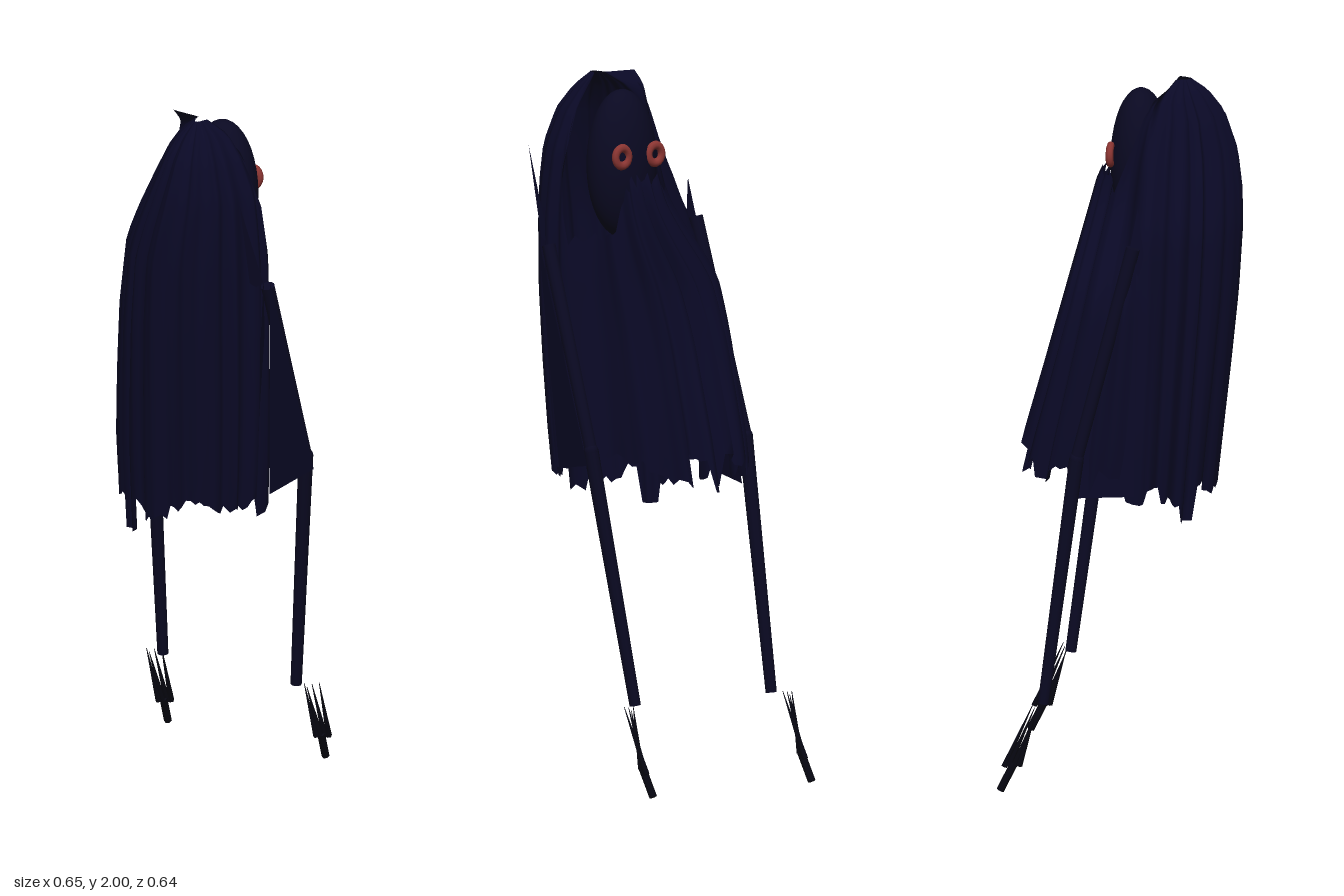
import * as THREE from 'three';

const mat = (name, color, side = THREE.FrontSide) =>
  Object.assign(new THREE.MeshStandardMaterial({ color, side }), { name });

// small seeded noise, 0..1
const rnd = (n) => { const s = Math.sin(n * 127.1 + 11.7) * 43758.5453; return s - Math.floor(s); };
const step = THREE.MathUtils.smoothstep;
const lerp = THREE.MathUtils.lerp;
const DEG = Math.PI / 180;

// cloak cross-sections: y, x min, x max, z centre, z back, z front
const SECTIONS = [
  [0.75, -0.215, 0.265, 0.07, 0.255, -0.335],
  [1.00, -0.22, 0.285, 0.08, 0.28, -0.275],
  [1.20, -0.21, 0.295, 0.085, 0.30, -0.22],
  [1.40, -0.195, 0.30, 0.09, 0.318, -0.168],
  [1.60, -0.168, 0.298, 0.09, 0.328, -0.12],
  [1.70, -0.125, 0.288, 0.09, 0.322, -0.095],
  [1.80, -0.075, 0.272, 0.09, 0.307, -0.05],
  [1.90, -0.02, 0.228, 0.10, 0.272, -0.01],
  [1.96, 0.025, 0.18, 0.105, 0.228, 0.04],
  [2.00, 0.085, 0.12, 0.135, 0.175, 0.10],
];

function sectionAt(y) {
  let i = 0;
  while (i < SECTIONS.length - 2 && y > SECTIONS[i + 1][0]) i++;
  const a = SECTIONS[i], b = SECTIONS[i + 1];
  const t = THREE.MathUtils.clamp((y - a[0]) / (b[0] - a[0]), 0, 1);
  return a.map((v, k) => v + (b[k] - v) * t);
}

// point on the cloak; angle 0 is the face side (-z), growing towards +x
function cloakPoint(a, y) {
  const [, x0, x1, zc, zb, zf] = sectionAt(y);
  const sa = Math.sin(a), ca = Math.cos(a);
  let fold = 1 - 0.05 * (1 + Math.sin(a * 17 + 1.5 * Math.sin(a * 3) + y * 0.8))
    - 0.02 * (1 + Math.sin(a * 31 + 2));
  // the back right corner is flatter
  if (sa < 0 && ca < 0) fold *= 1 - 0.5 * sa * sa * ca * ca;
  const c = ca * fold;
  let s = sa * fold;
  if (s > 0) s *= 1 - 0.22 * step(c, 0.05, 0.45);
  const lean = 0.07 * Math.max(c, 0) * step(1.8 - y, 0, 0.6);
  const x = (x0 + x1) / 2 + s * (x1 - x0) / 2 - lean;
  // the front gathers in around the face
  const gather = step(y, 1.4, 1.75) * step(c, 0.05, 0.4);
  return [lerp(x, 0.1 + 0.135 * s, gather), y, c > 0 ? zc - c * (zc - zf) : zc - c * (zb - zc)];
}

// hem and top of each cloak column: hood over the back, open around the face, ragged hem
function cloakRange(k, a) {
  const d = Math.acos(Math.cos(a)) / DEG, left = Math.sin(a) > 0;
  const rim = 1.74 - (left ? 0.17 : 0.04) * step(d, 20, 60) - 0.04 * rnd(k);
  const top = lerp(rim, 2, left ? step(d, 80, 94) : step(d, 48, 66));
  if (!left && d > 131 && d < 147) return [0.755, top];
  return [0.785 + 0.05 * step(Math.cos(a), -0.2, 0.6) + 0.1 * rnd(Math.floor(k / 4) + 3) + 0.025 * rnd(k + 200), top];
}

// pleated cloak and hood in one sheet
function cloakGeometry() {
  const cols = 108, rows = 28, pos = [], idx = [];
  for (let i = 0; i <= cols; i++) {
    const k = i % cols, a = (k / cols) * Math.PI * 2;
    const [hem, top] = cloakRange(k, a);
    for (let j = 0; j <= rows; j++) {
      const v = 1 - Math.pow(1 - j / rows, 1.6);
      pos.push(...cloakPoint(a, lerp(hem, top, v)));
      if (i < cols && j < rows) {
        const A = i * (rows + 1) + j, C = A + rows + 1;
        idx.push(A, A + 1, C, C, A + 1, C + 1);
      }
    }
  }
  const g = new THREE.BufferGeometry();
  g.setAttribute('position', new THREE.Float32BufferAttribute(pos, 3));
  g.setIndex(idx);
  g.computeVertexNormals();
  return g;
}

// tapered rod between two points
function rod(name, a, b, ra, rb, material, sides = 10) {
  const p = new THREE.Vector3(...a), q = new THREE.Vector3(...b), dir = q.clone().sub(p);
  const m = new THREE.Mesh(new THREE.CylinderGeometry(rb, ra, dir.length(), sides), material);
  m.position.copy(p).add(q).multiplyScalar(0.5);
  m.quaternion.setFromUnitVectors(new THREE.Vector3(0, 1, 0), dir.normalize());
  m.name = name;
  return m;
}

// thin pointed scrap of cloth
function scrap(name, corners, material) {
  const g = new THREE.BufferGeometry();
  g.setAttribute('position', new THREE.Float32BufferAttribute(corners.flat(), 3));
  g.computeVertexNormals();
  const m = new THREE.Mesh(g, material);
  m.name = name;
  return m;
}

export function createModel() {
  const cloth = mat('midnight cloth', 0x0a0926, THREE.DoubleSide);
  const skin = mat('dark skin', 0x0a0922);
  const claw = mat('black claw', 0x070712);
  const red = mat('dull red', 0x8c3633);

  const model = new THREE.Group();
  model.name = 'cloakedFigure';

  const cloak = new THREE.Mesh(cloakGeometry(), cloth);
  cloak.name = 'cloak';
  model.add(cloak);

  // head
  const head = new THREE.Mesh(new THREE.SphereGeometry(1, 28, 20), skin);
  head.name = 'head';
  head.scale.set(0.105, 0.21, 0.085);
  head.position.set(0.1, 1.755, 0.03);
  model.add(head);

  // ringed eyes
  for (const x of [0.038, 0.15]) {
    const eye = new THREE.Mesh(new THREE.TorusGeometry(0.022, 0.011, 8, 18), red);
    eye.name = 'eye';
    eye.scale.y = 1.15;
    eye.position.set(x, 1.785, -0.046);
    model.add(eye);
  }

  // arms: shoulder, elbow, wrist
  const arms = [
    ['leftArm', [0.3, 1.53, 0.1], [0.292, 0.97, -0.1], [0.2, 0.25, -0.185]],
    ['rightArm', [-0.165, 1.58, 0.05], [-0.232, 0.97, -0.1], [-0.258, 0.25, -0.19]],
  ];
  for (const [name, shoulder, elbow, wrist] of arms) {
    const arm = new THREE.Group();
    arm.name = name;
    arm.add(rod('upperArm', shoulder, elbow, 0.02, 0.018, skin));
    arm.add(rod('forearm', elbow, wrist, 0.021, 0.016, skin));
    const joint = new THREE.Mesh(new THREE.SphereGeometry(0.021, 10, 8), skin);
    joint.name = 'elbow';
    joint.position.set(...elbow);
    arm.add(joint);
    model.add(arm);
  }

  // detached hands with long claws tapering back towards the wrists
  for (const [name, dx] of [['leftHand', 0.538], ['rightHand', 0]]) {
    const hand = new THREE.Group();
    hand.name = name;
    hand.position.x = dx;
    hand.add(rod('stem', [-0.319, 0.006, -0.303], [-0.308, 0.085, -0.265], 0.011, 0.011, claw, 6));
    const tips = [[-0.321, 0.25, -0.2], [-0.313, 0.24, -0.202], [-0.3, 0.25, -0.208], [-0.28, 0.255, -0.215]];
    tips.forEach((tip, i) => {
      const base = [-0.314 + i * 0.004, 0.08 - i * 0.003, -0.25 - i * 0.015];
      hand.add(rod('claw', base, tip, 0.009, 0.0008, claw, 5));
    });
    model.add(hand);
  }

  // torn scraps standing off the shoulders and covering the arms
  model.add(scrap('leftShoulderScrap', [[0.287, 1.8, 0.22], [0.27, 1.52, 0.14], [0.305, 1.55, 0.13]], cloth));
  model.add(scrap('rightShoulderScrap', [[-0.145, 1.69, 0.06], [-0.16, 1.4, 0.1], [-0.19, 1.35, 0.0]], cloth));
  model.add(scrap('leftSleeveScrap', [[0.3, 1.56, 0.12], [0.22, 0.95, -0.01], [0.25, 0.9, 0.1]], cloth));
  model.add(scrap('leftSleeve', [[0.322, 1.55, 0.12], [0.312, 0.93, -0.11], [0.285, 0.9, 0.07]], cloth));
  model.add(scrap('rightHangingScrap', [[-0.17, 1.58, 0.06], [-0.215, 0.86, 0.06], [-0.2, 0.84, -0.13]], cloth));
  return model;
}
